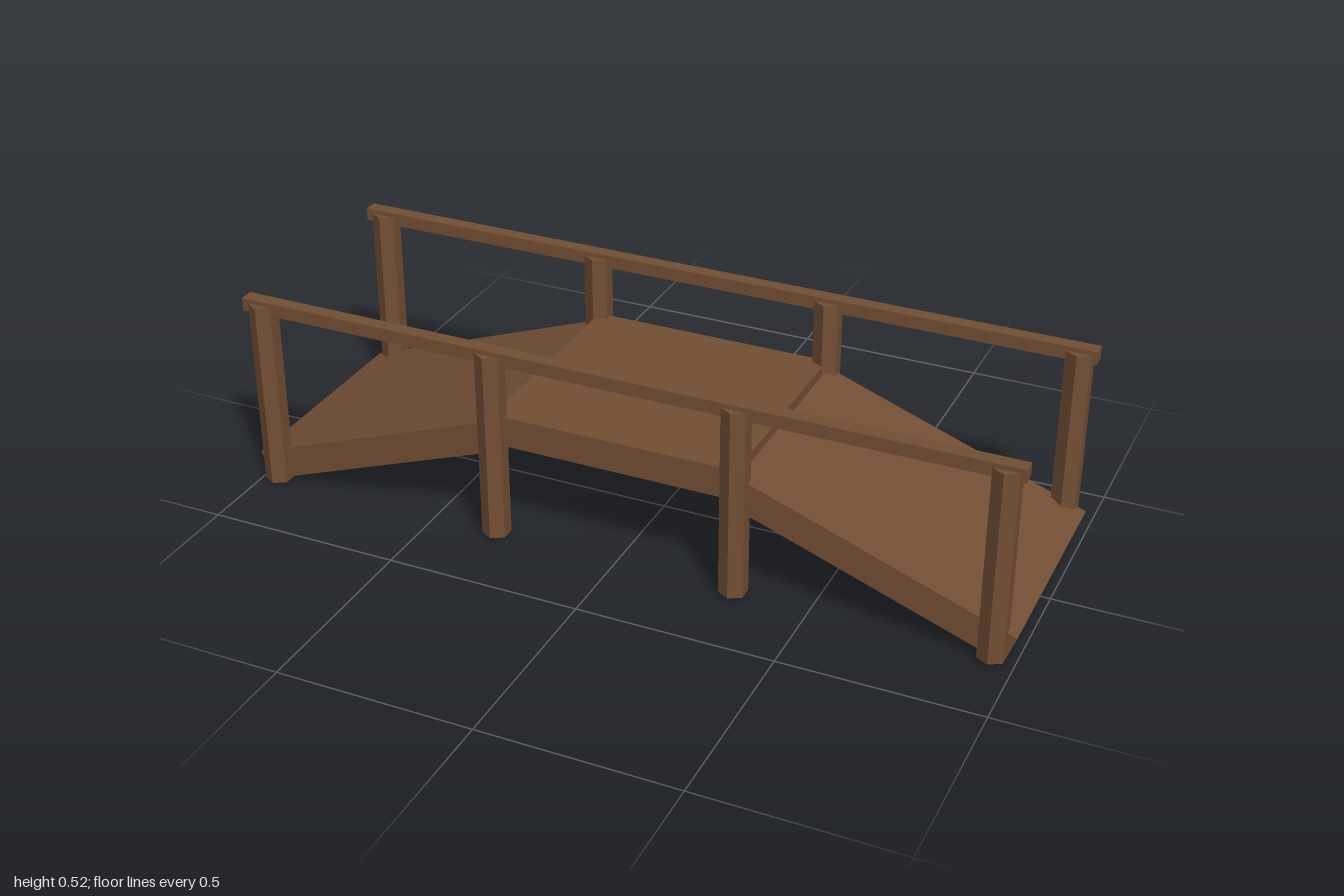
import * as THREE from 'three';

export function createModel() {
  const bridge = new THREE.Group();
  bridge.name = 'footbridge';
  const wood = new THREE.MeshStandardMaterial({ color: 0x734f35 });
  wood.name = 'brown wood';

  const add = (name, geometry, x, y, z) => {
    const mesh = new THREE.Mesh(geometry, wood);
    mesh.name = name;
    mesh.position.set(x, y, z);
    bridge.add(mesh);
    return mesh;
  };

  const thickness = 0.08, width = 0.588, slope = THREE.MathUtils.degToRad(20);

  // Level middle deck
  add('middleDeck', new THREE.BoxGeometry(0.632, thickness, width), -0.002, 0.302, 0);

  // Sloping ramps, placed from the outer top edge at (1, 0.076)
  const length = 0.725;
  const cx = 1 - Math.cos(slope) * length / 2 - Math.sin(slope) * thickness / 2;
  const cy = 0.0755 + Math.sin(slope) * length / 2 - Math.cos(slope) * thickness / 2;
  for (const side of [-1, 1]) {
    const ramp = add(side > 0 ? 'leftRamp' : 'rightRamp',
      new THREE.BoxGeometry(length, thickness, width), side * cx, cy, 0);
    ramp.rotation.z = -side * slope;
  }

  // Hexagonal posts and square handrails along both sides
  const postShape = new THREE.CylinderGeometry(0.036, 0.036, 0.498, 6).toNonIndexed();
  postShape.computeVertexNormals();
  for (const side of [-1, 1]) {
    const z = side * 0.294;
    for (const x of [-0.949, -0.319, 0.312, 0.945]) add('post', postShape, x, 0.261, z);
    add('handrail', new THREE.BoxGeometry(1.987, 0.034, 0.036), -0.003, 0.505, z);
  }
  return bridge;
}
